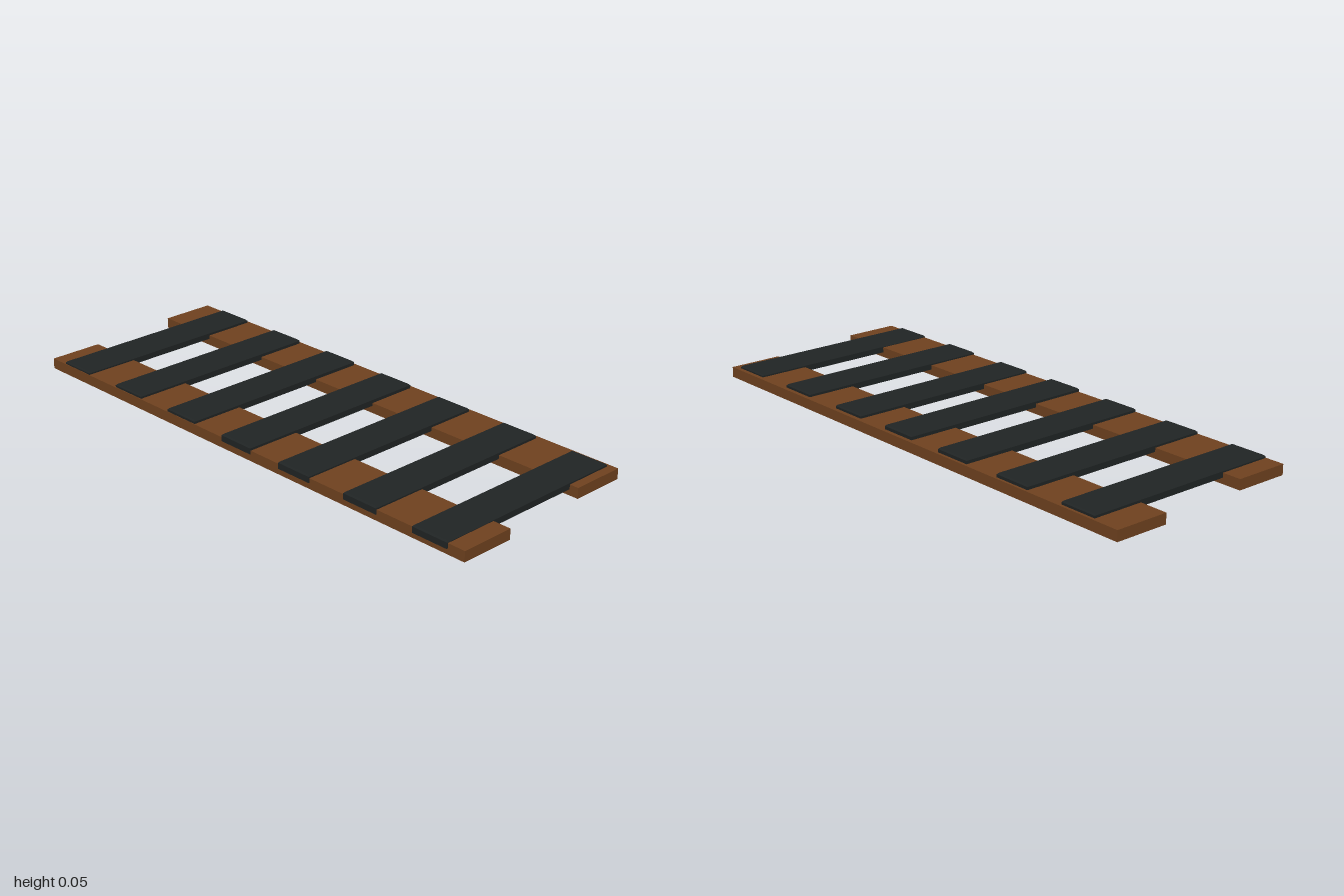
import * as THREE from 'three';

const wood = new THREE.MeshStandardMaterial({ color: 0x70421f, flatShading: true });
const dark = new THREE.MeshStandardMaterial({ color: 0x202424, flatShading: true });

// Plank whose upper edges are chamfered
function chamferedPlank(w, h, d, c) {
  const geo = new THREE.BoxGeometry(w, h, d, 1, 2, 1);
  const p = geo.attributes.position;
  for (let i = 0; i < p.count; i++) {
    const y = p.getY(i);
    if (Math.abs(y) < 1e-6) p.setY(i, h / 2 - c);
    else if (y > 0) {
      p.setX(i, p.getX(i) - Math.sign(p.getX(i)) * c);
      p.setZ(i, p.getZ(i) - Math.sign(p.getZ(i)) * c);
    }
  }
  geo.computeVertexNormals();
  return geo;
}

export function createModel() {
  const group = new THREE.Group();
  const add = (name, geo, mat, x, y, z) => {
    const mesh = new THREE.Mesh(geo, mat);
    mesh.name = name;
    mesh.position.set(x, y, z);
    group.add(mesh);
  };

  // Two long rails, slightly staggered
  const rail = new THREE.BoxGeometry(0.197, 0.037, 1.967);
  add('rightRail', rail, wood, -0.274, 0.0215, 0.0165);
  add('leftRail', rail, wood, 0.276, 0.0185, -0.0165);

  // Cross slats: x centre, top height, z centre
  const slat = chamferedPlank(0.735, 0.026, 0.139, 0.005);
  const slats = [
    [-0.003, 0.050, -0.828],
    [-0.002, 0.052, -0.542],
    [-0.003, 0.053, -0.260],
    [-0.007, 0.053, 0.018],
    [-0.008, 0.050, 0.289],
    [-0.008, 0.050, 0.579],
    [-0.008, 0.047, 0.865],
  ];
  slats.forEach(([x, top, z], i) => add(`slat${i + 1}`, slat, dark, x, top - 0.013, z));

  return group;
}
